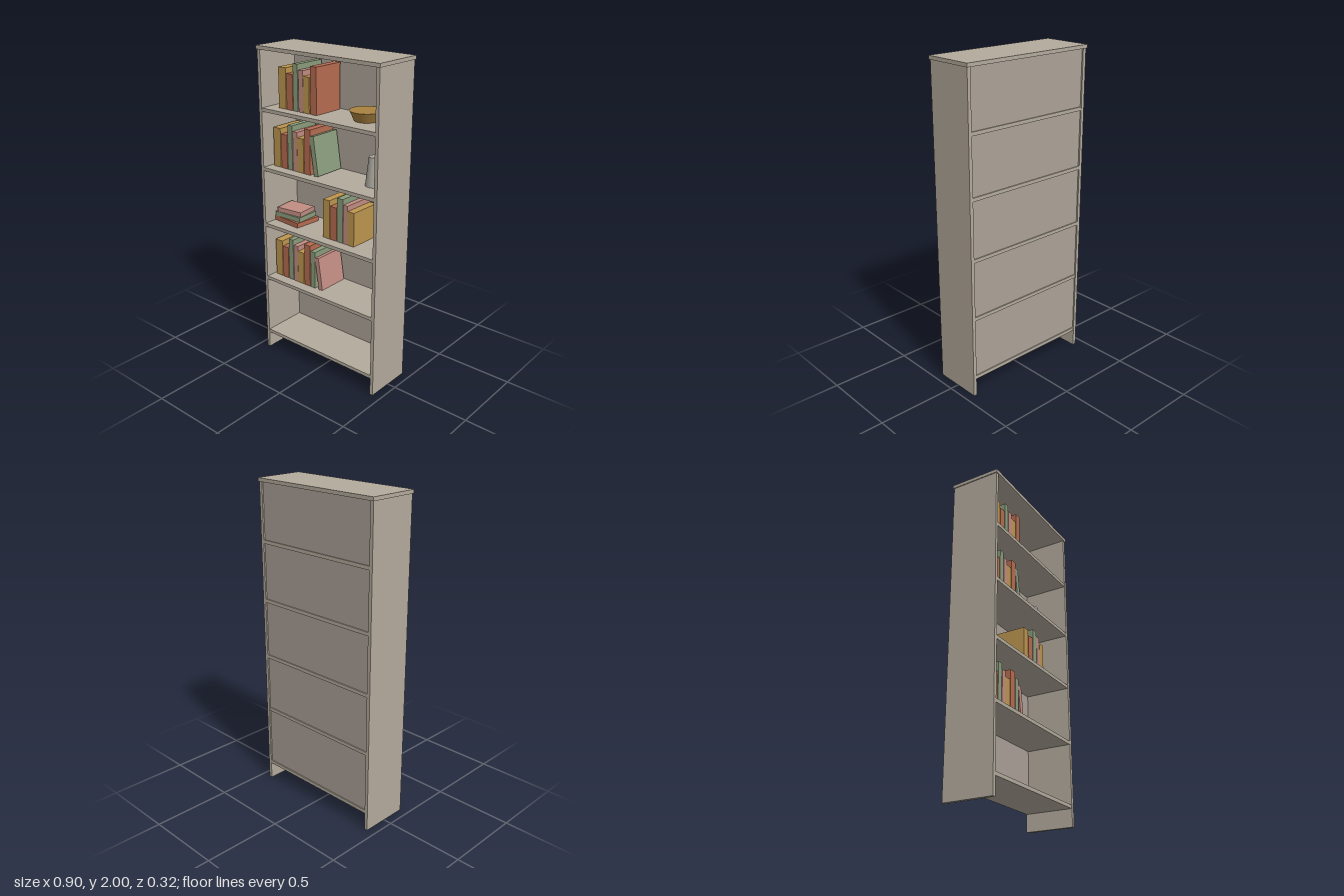
import * as THREE from 'three';

const material = (name, color) => {
  const m = new THREE.MeshStandardMaterial({ color });
  m.name = name;
  return m;
};

export function createModel() {
  const model = new THREE.Group();
  model.name = 'bookcase';

  const frame = material('greigeFrame', 0xb3aa9c);
  const backing = material('greigeBacking', 0xaca198);
  const ochre = material('ochre', 0xbc954f);
  const rust = material('rust', 0xb56b50);
  const sage = material('sage', 0x8a9c7c);
  const rose = material('rose', 0xc18c82);
  const brass = material('bowlBrass', 0xa8823f);
  const stone = material('vaseStone', 0xaba79d);

  const add = (name, geometry, mat, x, y, z, parent = model) => {
    const mesh = new THREE.Mesh(geometry, mat);
    mesh.name = name;
    mesh.position.set(x, y, z);
    parent.add(mesh);
    return mesh;
  };
  const box = (name, w, h, d, mat, x, y, z, parent) =>
    add(name, new THREE.BoxGeometry(w, h, d), mat, x, y, z, parent);

  // Carcass: top board, two sides running to the floor, recessed back
  box('topBoard', 0.9, 0.022, 0.322, frame, 0, 1.989, 0);
  for (const s of [-1, 1]) {
    box(s > 0 ? 'leftSide' : 'rightSide', 0.022, 1.978, 0.31, frame, s * 0.434, 0.989, 0);
  }
  box('backPanel', 0.846, 1.868, 0.008, backing, 0, 1.044, -0.142);

  // Shelves, given by the height of their upper face
  const shelfTops = [0.131, 0.525, 0.895, 1.264, 1.634];
  for (const y of shelfTops) box('shelf', 0.846, 0.022, 0.306, frame, 0, y - 0.011, 0);

  // Upright books: one repeating run of [material, height]
  const run = [[ochre, 0.244], [rust, 0.212], [sage, 0.276], [rose, 0.244],
    [ochre, 0.212], [rust, 0.276], [sage, 0.244]];
  const depth = 0.21, bookZ = -0.02;
  const bookRow = (shelf, spans) => {
    const row = new THREE.Group();
    row.name = 'bookRow';
    model.add(row);
    spans.forEach(([x0, x1], i) => {
      const [mat, h] = run[i];
      box('book', x1 - x0, h, depth, mat, (x0 + x1) / 2, shelfTops[shelf] + h / 2, bookZ, row);
    });
  };
  bookRow(4, [[-0.347, -0.289], [-0.283, -0.235], [-0.23, -0.195],
    [-0.188, -0.154], [-0.153, -0.106], [-0.098, -0.051]]);
  bookRow(3, [[-0.4, -0.343], [-0.337, -0.289], [-0.283, -0.247],
    [-0.241, -0.207], [-0.206, -0.157], [-0.151, -0.104]]);
  bookRow(2, [[-0.005, 0.044], [0.05, 0.098], [0.104, 0.147],
    [0.151, 0.183], [0.184, 0.231]]);
  bookRow(1, [[-0.408, -0.352], [-0.346, -0.299], [-0.293, -0.257],
    [-0.251, -0.217], [-0.216, -0.167], [-0.162, -0.115], [-0.109, -0.074]]);

  // Books leaning against the end of a row, resting on the lower right edge
  const leaningBook = (shelf, mat, w, h, right, angle) => {
    const geometry = new THREE.BoxGeometry(w, h, depth).translate(-w / 2, h / 2, 0);
    const y = shelfTops[shelf] + w * Math.sin(angle);
    add('leaningBook', geometry, mat, right, y, bookZ).rotation.z = angle;
  };
  leaningBook(3, sage, 0.032, 0.24, -0.042, 0.15);
  leaningBook(1, rose, 0.03, 0.21, -0.014, 0.15);

  // Pile of books lying flat, each turned a little
  const pile = [[rust, 0.21, 0.18, -0.312, -0.09], [sage, 0.2, 0.16, -0.318, 0.03],
    [rose, 0.18, 0.145, -0.317, 0.1]];
  pile.forEach(([mat, w, d, x, turn], i) => {
    box('flatBook', w, 0.03, d, mat, x, shelfTops[2] + 0.015 + i * 0.03, -0.012).rotation.y = turn;
  });

  // Ornaments
  add('bowl', new THREE.CylinderGeometry(0.098, 0.07, 0.058, 28), brass, 0.228, shelfTops[4] + 0.029, -0.02);
  add('vase', new THREE.CylinderGeometry(0.033, 0.052, 0.172, 28), stone, 0.291, shelfTops[3] + 0.086, -0.02);

  return model;
}
